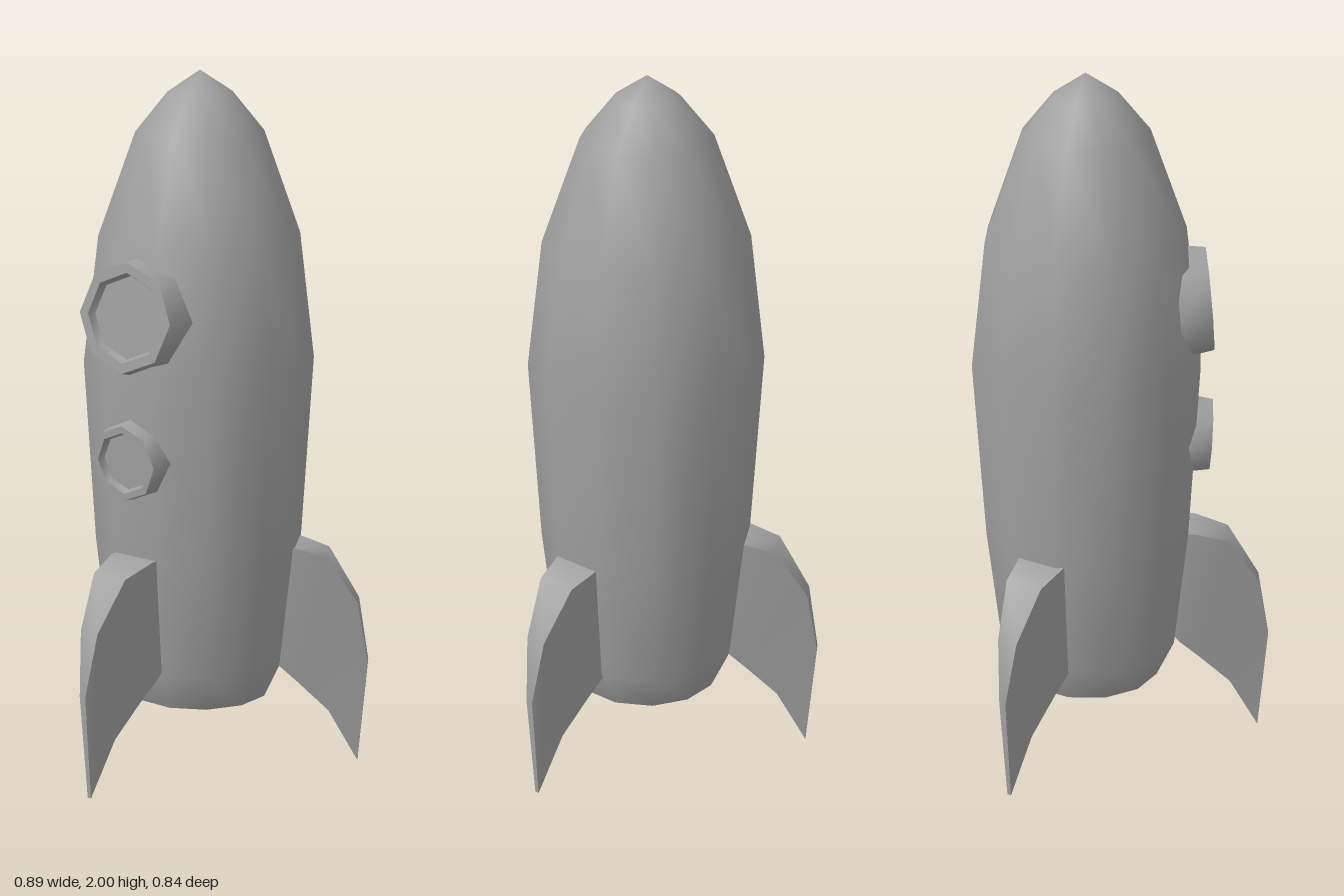
import * as THREE from 'three';
import { toCreasedNormals } from 'three/addons/utils/BufferGeometryUtils.js';

const grey = new THREE.MeshStandardMaterial({ color: 0xa0a0a0 });
const CREASE = 0.9;

function part(name, geometry) {
  const mesh = new THREE.Mesh(geometry, grey);
  mesh.name = name;
  return mesh;
}

function lathe(profile, sides, start = 0) {
  return new THREE.LatheGeometry(profile.map(([r, y]) => new THREE.Vector2(r, y)), sides, start);
}

// Twelve-sided hull; radii are measured to the middle of a flat side
function createHull() {
  const k = 1 / Math.cos(Math.PI / 12);
  const profile = [[0.2, 0.2], [0.25, 0.31], [0.288, 0.66], [0.318, 1.18],
    [0.276, 1.54], [0.175, 1.83], [0.088, 1.94], [0, 2]].map(([r, y]) => [r * k, y]);
  const shell = lathe(profile, 12, Math.PI / 12);
  // Rounded shading at the nose tip
  for (let i = profile.length - 1; i < shell.attributes.normal.count; i += profile.length) {
    shell.attributes.normal.setXYZ(i, 0, 1, 0);
  }
  const base = new THREE.CircleGeometry(0.2 * k, 12, Math.PI / 12).rotateX(Math.PI / 2).translate(0, 0.2, 0);
  const hull = new THREE.Group();
  hull.name = 'hull';
  hull.add(part('hullShell', shell), part('hullBase', base));
  hull.position.set(0.002, 0, -0.105);
  return hull;
}

// Swept fin lofted from root to tip: rectangular sections that narrow outwards
function finGeometry() {
  // outer radius, outer y, outer half width, inner radius, inner y, inner half width
  const stations = [
    [0.262, 0.66, 0.073, 0.227, 0.33, 0.063],
    [0.287, 0.66, 0.073, 0.244, 0.31, 0.062],
    [0.385, 0.63, 0.056, 0.305, 0.25, 0.045],
    [0.475, 0.49, 0.03, 0.395, 0.16, 0.025],
    [0.506, 0.31, 0.01, 0.48, 0.005, 0.006],
  ];
  const positions = [];
  const index = [];
  for (const [ro, yo, wo, ri, yi, wi] of stations) {
    positions.push(wo, yo, ro, -wo, yo, ro, -wi, yi, ri, wi, yi, ri);
  }
  for (let s = 0; s < stations.length - 1; s++) {
    for (let j = 0; j < 4; j++) {
      const a = s * 4 + j, b = s * 4 + (j + 1) % 4;
      index.push(a, b, a + 4, b, b + 4, a + 4);
    }
  }
  const e = (stations.length - 1) * 4;
  index.push(e, e + 1, e + 2, e, e + 2, e + 3, 0, 2, 1, 0, 3, 2);
  const geometry = new THREE.BufferGeometry();
  geometry.setAttribute('position', new THREE.Float32BufferAttribute(positions, 3));
  geometry.setIndex(index);
  return toCreasedNormals(geometry, CREASE);
}

// Octagonal porthole: tapered rim with a recessed pane, facing +z
function createPorthole(name, r, depth) {
  const profile = [[r, -depth], [r * 0.91, 0], [r * 0.74, 0], [r * 0.68, -0.022]];
  const rim = toCreasedNormals(lathe(profile, 8).rotateX(Math.PI / 2), CREASE);
  const pane = new THREE.CircleGeometry(r * 0.69, 8).translate(0, 0, -0.021);
  const porthole = new THREE.Group();
  porthole.name = name;
  porthole.add(part(name + 'Rim', rim), part(name + 'Pane', pane));
  return porthole;
}

export function createModel() {
  const model = new THREE.Group();
  model.name = 'rocket';
  model.add(createHull());

  // Three fins, evenly spaced, turned slightly about the hull
  const geometry = finGeometry();
  ['frontFin', 'leftFin', 'rightFin'].forEach((name, i) => {
    const fin = part(name, geometry);
    fin.position.set(0.002, 0, -0.085);
    fin.rotation.y = i * Math.PI * 2 / 3 + 0.017;
    model.add(fin);
  });

  // Portholes lean with the slope of the hull
  const upper = createPorthole('upperPorthole', 0.169, 0.09);
  upper.position.set(0.012, 1.35, 0.236);
  upper.rotation.set(-0.08, 0.06, 0);
  const lower = createPorthole('lowerPorthole', 0.118, 0.065);
  lower.position.set(0.01, 0.942, 0.243);
  lower.rotation.set(0.06, 0.04, 0);
  model.add(upper, lower);
  return model;
}
